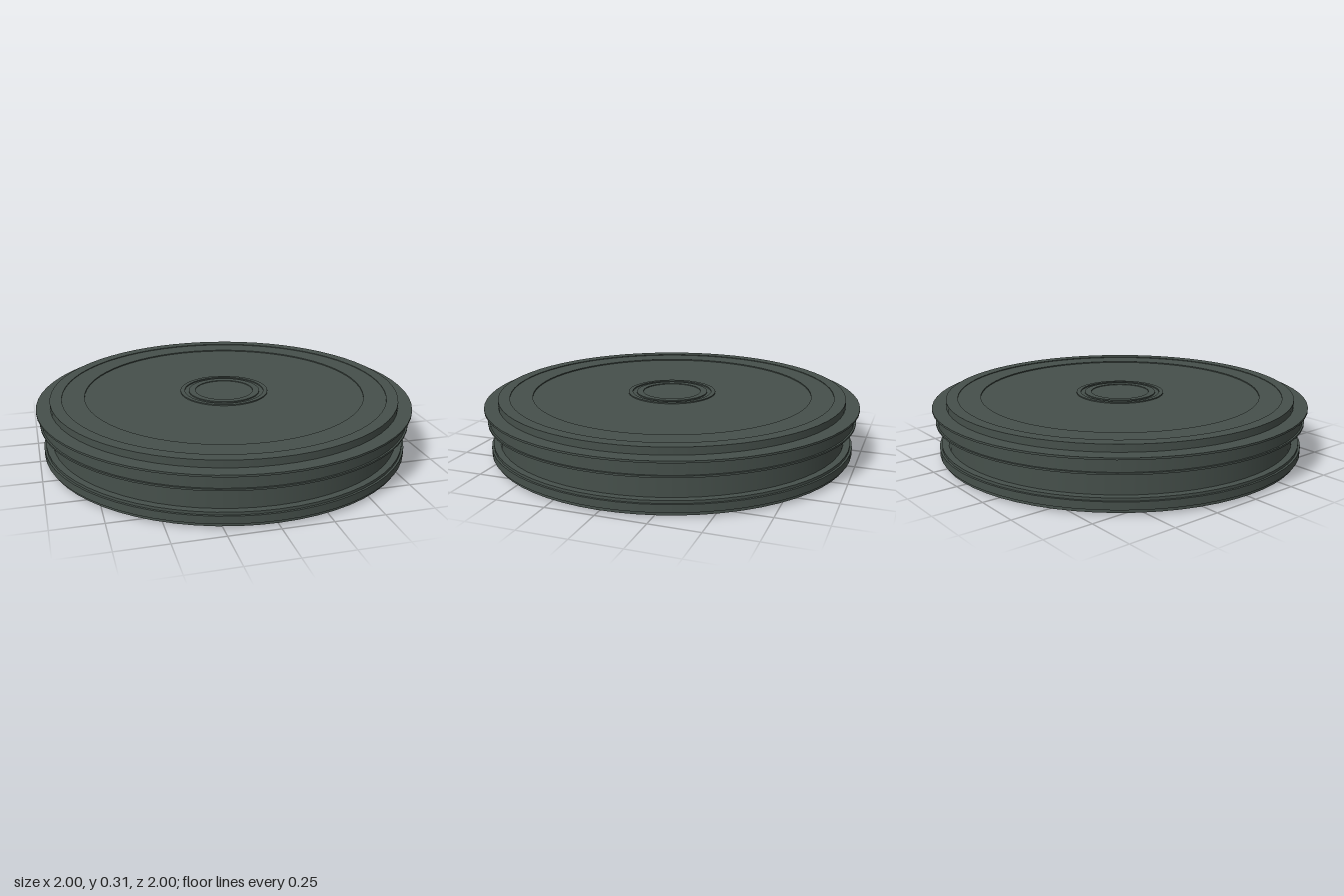
import * as THREE from 'three';
import { mergeGeometries } from 'three/addons/utils/BufferGeometryUtils.js';

// Each profile segment is turned on its own, so steps stay sharp while the rim stays smooth.
function turned(profile) {
  const bands = [];
  for (let i = 0; i < profile.length - 1; i++) {
    const pair = [profile[i], profile[i + 1]].map(([r, y]) => new THREE.Vector2(r, y));
    bands.push(new THREE.LatheGeometry(pair, 64));
  }
  return mergeGeometries(bands);
}

export function createModel() {
  const group = new THREE.Group();
  const metal = new THREE.MeshStandardMaterial({ color: 0x46504b });
  metal.name = 'dark grey green';

  // Profiles run from the bottom axis, out around the rim, to the top axis (radius, height).
  const parts = {
    lowerHub: [
      [0, 0.006], [0.155, 0.006], [0.165, 0], [0.19, 0], [0.19, 0.004],
      [0.212, 0.004], [0.212, 0.01], [0.235, 0.01], [0.235, 0.014],
      [0.27, 0.014], [0.27, 0.01], [0.31, 0.01], [0.31, 0.005],
    ],
    underside: [
      [0.31, 0.005], [0.485, 0.005], [0.485, 0.01], [0.59, 0.01],
      [0.6, 0.018], [0.64, 0.018], [0.67, 0.018], [0.68, 0.01], [0.962, 0.01],
    ],
    lowerRim: [
      [0.962, 0.01], [0.962, 0.027], [0.973, 0.027], [0.973, 0.066],
      [0.962, 0.066], [0.962, 0.08], [0.927, 0.08],
    ],
    groove: [[0.927, 0.08], [0.927, 0.195]],
    upperRim: [
      [0.927, 0.195], [0.985, 0.195], [0.985, 0.204], [0.976, 0.204],
      [0.976, 0.268], [1, 0.268], [1, 0.278], [0.927, 0.278],
    ],
    topPlate: [
      [0.927, 0.278], [0.927, 0.315], [0.866, 0.315], [0.866, 0.311],
      [0.747, 0.311], [0.747, 0.305], [0.235, 0.305],
    ],
    upperHub: [
      [0.235, 0.305], [0.235, 0.311], [0.212, 0.311], [0.212, 0.305],
      [0.19, 0.305], [0.19, 0.311], [0.155, 0.311], [0.155, 0.307], [0, 0.307],
    ],
  };

  for (const [name, profile] of Object.entries(parts)) {
    const mesh = new THREE.Mesh(turned(profile), metal);
    mesh.name = name;
    group.add(mesh);
  }
  return group;
}
